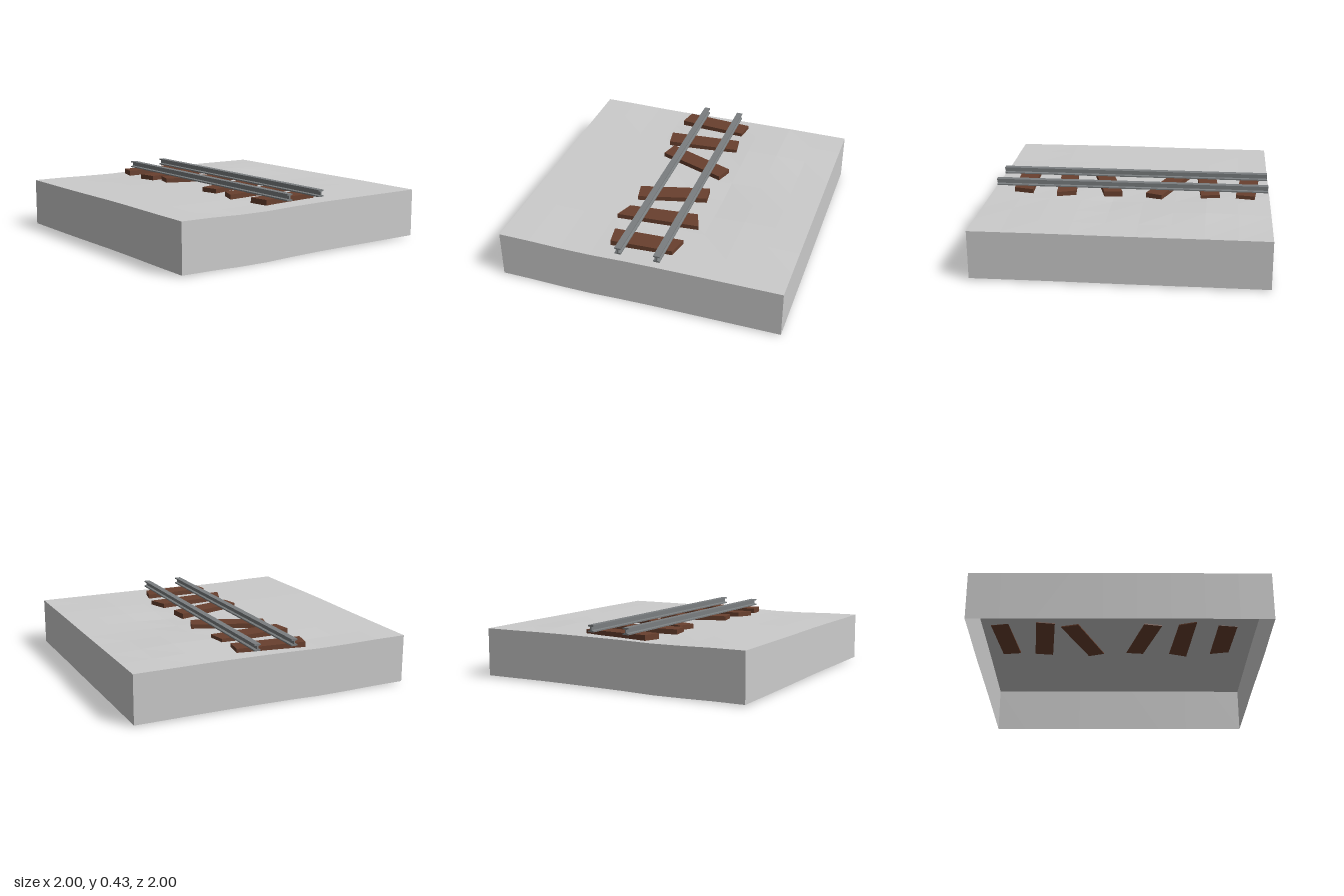
import * as THREE from 'three';

const CELLS = 9;
const WALL = 0.336;

const groundMat = new THREE.MeshStandardMaterial({ color: 0xcccccc, flatShading: true, side: THREE.DoubleSide });
const woodMat = new THREE.MeshStandardMaterial({ color: 0x69402e, flatShading: true });
const railMat = new THREE.MeshStandardMaterial({ color: 0x7a7e80, flatShading: true });

// Gentle bumps and dips of the ground: x, z, height, radius
const BUMPS = [
  [-0.6, -0.47, 0.017, 0.3],
  [0.95, 0.42, -0.012, 0.3],
  [-0.85, 0.4, -0.011, 0.25],
  [0.1, -0.3, -0.011, 0.22],
  [0.5, -0.65, 0.006, 0.3],
  [0.2, 0.95, 0.004, 0.4],
];

function groundHeight(x, z) {
  return BUMPS.reduce((y, [bx, bz, h, r]) =>
    y + h * Math.exp(-((x - bx) ** 2 + (z - bz) ** 2) / (r * r)), 0.348);
}

function addMesh(parent, name, geometry, material) {
  const mesh = new THREE.Mesh(geometry, material);
  mesh.name = name;
  parent.add(mesh);
  return mesh;
}

// Uneven ground sheet
function groundGeometry() {
  const geo = new THREE.PlaneGeometry(2, 2, CELLS, CELLS).rotateX(-Math.PI / 2);
  const p = geo.attributes.position;
  for (let i = 0; i < p.count; i++) p.setY(i, groundHeight(p.getX(i), p.getZ(i)));
  return geo;
}

// Skirt wall of constant depth whose rims follow the ground
function wallGeometry(angle) {
  const geo = new THREE.PlaneGeometry(2, WALL, CELLS, 1).translate(0, -WALL / 2, 1).rotateY(angle);
  const p = geo.attributes.position;
  for (let i = 0; i < p.count; i++) p.setY(i, p.getY(i) + groundHeight(p.getX(i), p.getZ(i)));
  return geo;
}

// Sleeper outlines seen from above, as x, z corners
const SLEEPERS = [
  [[-0.893, -0.24], [-0.76, -0.22], [-0.807, 0.278], [-0.936, 0.25]],
  [[-0.647, -0.23], [-0.513, -0.25], [-0.47, 0.278], [-0.604, 0.3]],
  [[-0.235, -0.273], [-0.118, -0.23], [-0.3, 0.262], [-0.428, 0.225]],
  [[0.053, -0.214], [0.182, -0.23], [0.31, 0.246], [0.182, 0.273]],
  [[0.385, -0.23], [0.519, -0.278], [0.56, 0.305], [0.433, 0.257]],
  [[0.7, -0.23], [0.84, -0.198], [0.86, 0.235], [0.722, 0.257]],
];

function sleeperGeometry(corners) {
  const shape = new THREE.Shape(corners.map(([x, z]) => new THREE.Vector2(x, -z)));
  return new THREE.ExtrudeGeometry(shape, { depth: 0.04, bevelEnabled: false })
    .rotateX(-Math.PI / 2).translate(0, 0.34, 0);
}

// I-section rail running along x
function railGeometry() {
  const half = [[0.022, 0], [0.022, 0.009], [0.005, 0.013], [0.005, 0.035], [0.022, 0.039], [0.022, 0.048]];
  const outline = [...half, ...half.map(([x, y]) => [-x, y]).reverse()];
  const shape = new THREE.Shape(outline.map(([x, y]) => new THREE.Vector2(x, y)));
  return new THREE.ExtrudeGeometry(shape, { depth: 1.97, bevelEnabled: false })
    .rotateY(Math.PI / 2).translate(-0.99, 0.379, 0);
}

export function createModel() {
  const model = new THREE.Group();
  model.name = 'railwayTrackTile';

  const ground = new THREE.Group();
  ground.name = 'groundBlock';
  model.add(ground);
  addMesh(ground, 'groundSurface', groundGeometry(), groundMat);
  ['frontWall', 'leftWall', 'backWall', 'rightWall'].forEach((name, i) =>
    addMesh(ground, name, wallGeometry(i * Math.PI / 2), groundMat));

  const track = new THREE.Group();
  track.name = 'track';
  model.add(track);
  SLEEPERS.forEach((corners, i) => addMesh(track, `sleeper${i + 1}`, sleeperGeometry(corners), woodMat));
  for (const [name, z] of [['frontRail', 0.135], ['backRail', -0.137]]) {
    addMesh(track, name, railGeometry(), railMat).position.z = z;
  }
  return model;
}
